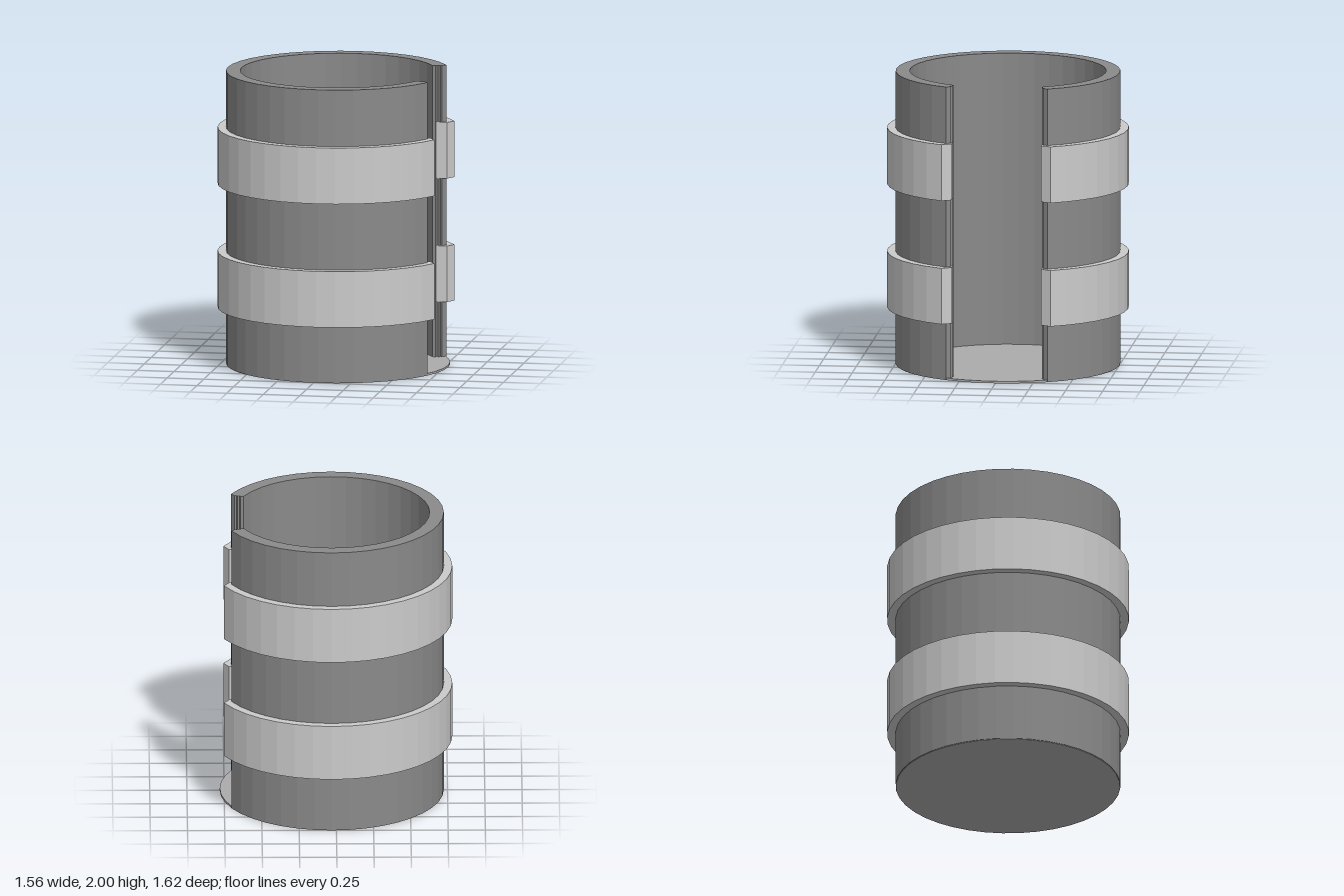
import * as THREE from 'three';

const CX = 0.03;                       // axis of the tube
const GAP = THREE.MathUtils.degToRad(27); // half angle of the side opening
const STEPS = 34;                      // 9 degree facets

const material = (color) => new THREE.MeshStandardMaterial({ color, flatShading: true });

// Points on an arc that runs from one lip of the opening round to the other
function arc(radius) {
  const points = [];
  for (let i = 0; i <= STEPS; i++) {
    const a = GAP + (i / STEPS) * (2 * Math.PI - 2 * GAP);
    points.push(new THREE.Vector2(CX + radius * Math.cos(a), radius * Math.sin(a)));
  }
  return points;
}

// C-shaped section; lip lists the end points from outside to inside
function openRing(outer, inner, lip, y0, y1) {
  const upper = lip.map(([x, y]) => new THREE.Vector2(x, y));
  const lower = lip.map(([x, y]) => new THREE.Vector2(x, -y));
  const shape = new THREE.Shape([
    ...arc(outer), ...lower, ...arc(inner).reverse(), ...upper.reverse(),
  ]);
  const geometry = new THREE.ExtrudeGeometry(shape, { depth: y1 - y0, bevelEnabled: false });
  geometry.rotateX(-Math.PI / 2);
  geometry.translate(0, y0, 0);
  return geometry;
}

export function createModel() {
  const model = new THREE.Group();
  model.name = 'openSleeve';
  const add = (name, geometry, mat) => {
    const mesh = new THREE.Mesh(geometry, mat);
    mesh.name = name;
    model.add(mesh);
  };

  // Main wall with small grooves along each lip
  const wallLip = [[0.678, 0.31], [0.667, 0.316], [0.66, 0.302], [0.645, 0.309], [0.638, 0.3]];
  add('wall', openRing(0.755, 0.66, wallLip, 0.003, 2), material(0x8a8a8a));

  // Two raised bands with bevelled ends
  const bandMaterial = material(0xcccccc);
  const bandLip = [[0.715, 0.302], [0.63, 0.302]];
  add('lowerBand', openRing(0.812, 0.675, bandLip, 0.39, 0.772), bandMaterial);
  add('upperBand', openRing(0.812, 0.675, bandLip, 1.232, 1.615), bandMaterial);

  // Thin floor disc
  const floor = new THREE.CylinderGeometry(0.75, 0.75, 0.014, 40);
  floor.translate(CX, 0.007, 0);
  add('floor', floor, material(0xacacac));

  // Centre the whole on x
  model.position.x = 0;
  return model;
}
